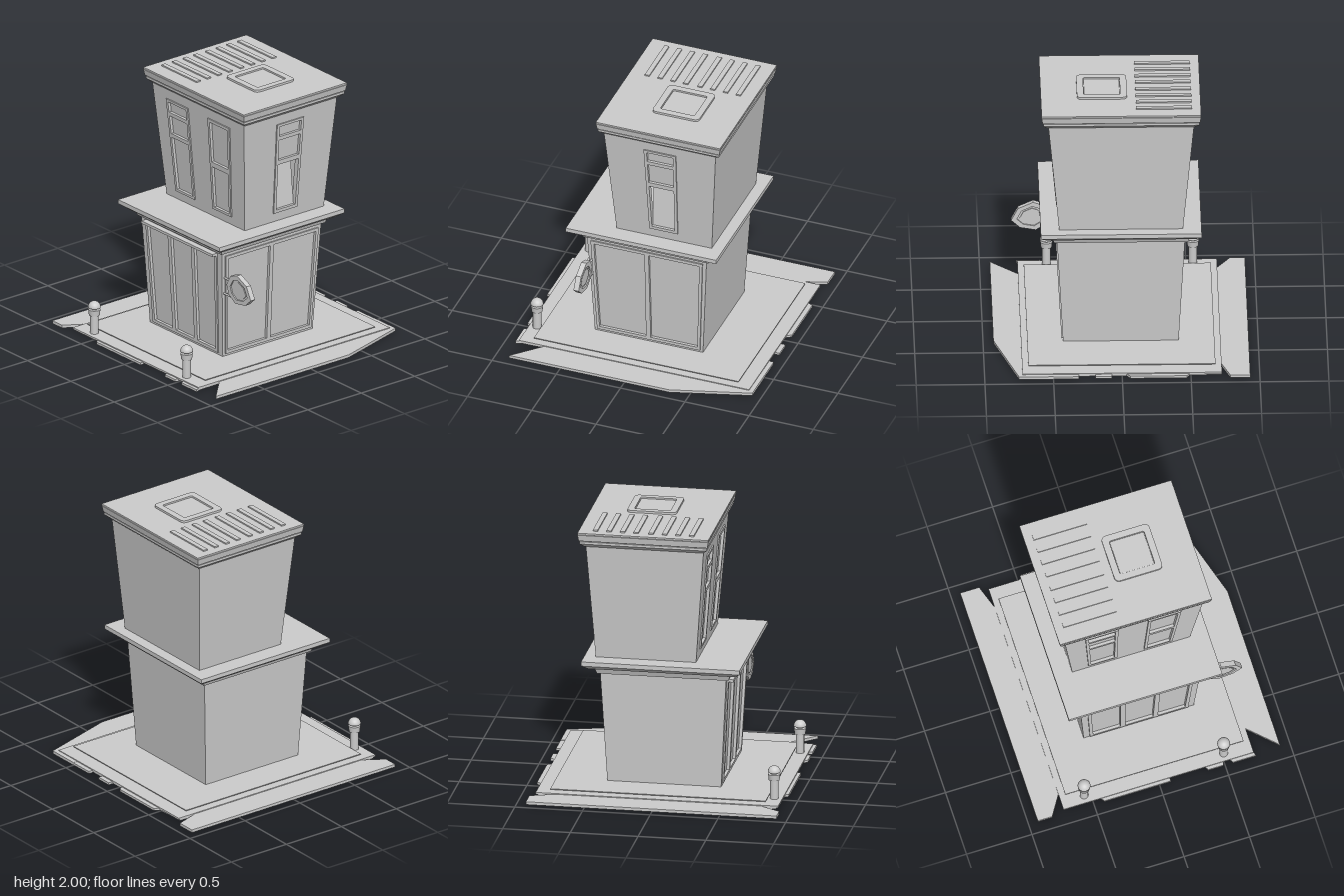
import * as THREE from 'three';
import { RoundedBoxGeometry } from 'three/addons/geometries/RoundedBoxGeometry.js';

const material = new THREE.MeshStandardMaterial({ color: 0xcccccc, side: THREE.DoubleSide });

function add(parent, name, geometry, x = 0, y = 0, z = 0) {
  const mesh = new THREE.Mesh(geometry, material);
  mesh.name = name;
  mesh.position.set(x, y, z);
  parent.add(mesh);
  return mesh;
}

const polygon = (points) => new THREE.Shape(points.map((p) => new THREE.Vector2(p[0], p[1])));

// A quad is [left, right, y] at its foot, then [left, right, y] at its head
const corners = ([l0, r0, y0, l1, r1, y1]) => [[l0, y0], [r0, y0], [r1, y1], [l1, y1]];

// Box whose footprint changes from half sizes (x0, z0) at y0 to (x1, z1) at y1
function taper(parent, name, y0, y1, x0, x1, z0, z1, zc = 0) {
  const g = new THREE.BoxGeometry(2, y1 - y0, 2);
  const p = g.attributes.position;
  for (let i = 0; i < p.count; i++) {
    const top = p.getY(i) > 0;
    p.setX(i, p.getX(i) * (top ? x1 : x0));
    p.setZ(i, p.getZ(i) * (top ? z1 : z0));
  }
  g.computeVertexNormals();
  return add(parent, name, g, 0, (y0 + y1) / 2, zc);
}

// Sheet lying in a leaning wall, from depth d0 to d1 along the wall's outward axis
function sheet(parent, name, wall, quad, holes, d0, d1, tilt = 0) {
  const shape = polygon(corners(quad));
  shape.holes = holes.map((h) => polygon(corners(h)));
  const g = new THREE.ExtrudeGeometry(shape, { depth: d1 - d0, bevelEnabled: false });
  const p = g.attributes.position;
  for (let i = 0; i < p.count; i++) {
    const y = p.getY(i);
    const out = wall.out0 + ((wall.out1 - wall.out0) * (y - wall.y0)) / (wall.y1 - wall.y0);
    p.setZ(i, p.getZ(i) + d0 + out - tilt * (y - quad[2]));
  }
  g.rotateY(wall.turn);
  g.computeVertexNormals();
  add(parent, name, g);
}

// Window: raised frame with openings and set-back panes
function addWindow(parent, name, wall, quad, panes, tilts = []) {
  const group = new THREE.Group();
  group.name = name;
  sheet(group, 'frame', wall, quad, panes, -0.03, 0.01);
  panes.forEach((pane, i) => sheet(group, 'pane', wall, pane, [], -0.025, -0.012, tilts[i] || 0));
  parent.add(group);
}

// Panes stacked in one window, following its slanted sides
function stacked(q, ranges, margin = 0.022) {
  const at = (k, y) => q[k] + ((q[k + 3] - q[k]) * (y - q[2])) / (q[5] - q[2]);
  return ranges.map(([a, b]) => [at(0, a) + margin, at(1, a) - margin, a, at(0, b) + margin, at(1, b) - margin, b]);
}

// Four leaning walls; x and z hold [foot, head] limits
function storey(parent, name, y0, y1, hx, zFront, zBack, frontHoles, rightHoles) {
  const group = new THREE.Group();
  group.name = name;
  const base = { y0, y1 };
  const front = { ...base, out0: zFront[0], out1: zFront[1], turn: 0 };
  const back = { ...base, out0: -zBack[0], out1: -zBack[1], turn: Math.PI };
  const right = { ...base, out0: hx[0], out1: hx[1], turn: Math.PI / 2 };
  const left = { ...right, turn: -Math.PI / 2 };
  const wide = [-hx[0], hx[0], y0, -hx[1], hx[1], y1];
  sheet(group, 'frontWall', front, wide, frontHoles, -0.03, 0);
  sheet(group, 'backWall', back, wide, [], -0.03, 0);
  sheet(group, 'rightWall', right, [-zFront[0], -zBack[0], y0, -zFront[1], -zBack[1], y1], rightHoles, -0.03, 0);
  sheet(group, 'leftWall', left, [zBack[0], zFront[0], y0, zBack[1], zFront[1], y1], [], -0.03, 0);
  parent.add(group);
  return { group, front, right };
}

function flatPiece(parent, name, points, y0, y1) {
  const g = new THREE.ExtrudeGeometry(polygon(points.map(([x, z]) => [x, -z])), { depth: y1 - y0, bevelEnabled: false });
  g.rotateX(-Math.PI / 2);
  add(parent, name, g, 0, y0, 0);
}

export function createModel() {
  const model = new THREE.Group();
  model.name = 'building';

  // Broken ground pieces, paving slab and thin inner plate
  const ground = new THREE.Group();
  ground.name = 'ground';
  model.add(ground);
  flatPiece(ground, 'leftGround', [[-0.93, -0.93], [-0.785, -0.93], [-0.725, -0.75], [-0.6, -0.3],
    [-0.6, 0.4], [-0.725, 0.77], [-0.82, 0.92], [-0.93, 0.92]], 0, 0.022);
  flatPiece(ground, 'rightGround', [[0.75, -0.93], [0.925, -0.35], [0.925, 0.895], [0.725, 0.7],
    [0.5, 0.45], [0.5, -0.93]], 0, 0.022);
  flatPiece(ground, 'middleGround', [[-0.72, -0.88], [-0.49, -0.89], [-0.47, -0.93], [-0.06, -0.93], [-0.03, -0.89],
    [0.075, -0.89], [0.075, -0.93], [0.195, -0.93], [0.195, -0.89], [0.315, -0.89], [0.315, -0.93], [0.56, -0.93],
    [0.535, -0.89], [0.7, -0.88], [0.72, 0.88], [0.735, 0.92], [0.56, 0.92], [0.54, 0.88], [0.5, 0.88],
    [0.485, 0.92], [0.37, 0.92], [0.35, 0.88], [0.085, 0.88], [0.085, 0.92], [-0.42, 0.92], [-0.45, 0.88],
    [-0.72, 0.88]], 0.002, 0.02);
  add(ground, 'pavingSlab', new THREE.BoxGeometry(1.45, 0.014, 1.79), 0, 0.021, 0);
  add(ground, 'innerPlate', new THREE.BoxGeometry(1.36, 0.006, 1.59), 0, 0.044, 0);

  // Ground floor with shop windows on the front and right
  const shopFront = [-0.375, 0.375, 0.065, -0.41, 0.41, 0.855];
  const shopRight = [-0.4, 0.4, 0.065, -0.435, 0.435, 0.855];
  const lower = storey(model, 'groundFloor', 0.045, 0.89, [0.42, 0.465], [0.42, 0.465], [-0.42, -0.465], [shopFront], [shopRight]);
  addWindow(lower.group, 'shopFrontWindow', lower.front, shopFront, [
    [-0.35, -0.143, 0.09, -0.385, -0.153, 0.83],
    [-0.106, 0.106, 0.09, -0.117, 0.117, 0.83],
    [0.143, 0.35, 0.09, 0.153, 0.385, 0.83]]);
  addWindow(lower.group, 'shopSideWindow', lower.right, shopRight, [
    [-0.38, -0.018, 0.09, -0.41, -0.016, 0.83],
    [0.018, 0.38, 0.09, 0.016, 0.41, 0.83]]);
  add(lower.group, 'awningRail', new THREE.BoxGeometry(0.82, 0.02, 0.05), 0, 0.86, 0.485);

  // Cornice between the floors
  taper(model, 'lowerMoulding', 0.885, 0.94, 0.485, 0.505, 0.485, 0.505);
  taper(model, 'corniceBevel', 0.935, 0.968, 0.54, 0.585, 0.54, 0.585);
  taper(model, 'corniceSlab', 0.968, 1.0, 0.585, 0.585, 0.585, 0.585);

  // Upper floor, set back from the front
  const winA = [-0.33, -0.11, 1.065, -0.37, -0.12, 1.795];
  const winB = [0.095, 0.31, 1.065, 0.11, 0.36, 1.795];
  const winC = [0.02, 0.24, 1.07, 0, 0.25, 1.795];
  const upper = storey(model, 'upperFloor', 1.0, 1.88, [0.45, 0.53], [0.24, 0.31], [-0.5, -0.56], [winA, winB], [winC]);
  addWindow(upper.group, 'frontTallWindow', upper.front, winA, stacked(winA, [[1.085, 1.495], [1.525, 1.665], [1.695, 1.775]]));
  addWindow(upper.group, 'frontSashWindow', upper.front, winB, stacked(winB, [[1.085, 1.41], [1.45, 1.77]]));
  addWindow(upper.group, 'sideWindow', upper.right, winC,
    stacked(winC, [[1.095, 1.465], [1.5, 1.665], [1.695, 1.775]]), [0.2]);

  // Roof mouldings and top
  const roof = new THREE.Group();
  roof.name = 'roof';
  model.add(roof);
  const zc = -0.13;
  taper(roof, 'roofBevel', 1.87, 1.898, 0.535, 0.567, 0.44, 0.47, zc);
  taper(roof, 'roofBand', 1.898, 1.915, 0.567, 0.567, 0.47, 0.47, zc);
  taper(roof, 'roofGroove', 1.915, 1.975, 0.555, 0.565, 0.458, 0.468, zc);
  taper(roof, 'roofFascia', 1.922, 1.968, 0.572, 0.58, 0.475, 0.483, zc);
  taper(roof, 'roofTop', 1.972, 1.984, 0.58, 0.58, 0.483, 0.483, zc);

  // Roof vents and hatch
  for (const z of [-0.49, -0.39, -0.29, -0.19, -0.08, 0.02, 0.12, 0.22]) {
    add(roof, 'roofVent', new THREE.BoxGeometry(0.405, 0.012, 0.036), -0.312, 1.988, z - 0.002);
  }
  const rounded = (path, h, r) => {
    path.moveTo(-h + r, -h);
    [[1, -1, -Math.PI / 2], [1, 1, 0], [-1, 1, Math.PI / 2], [-1, -1, Math.PI]].forEach(([sx, sy, a]) =>
      path.absarc(sx * (h - r), sy * (h - r), r, a, a + Math.PI / 2));
    return path;
  };
  const rim = rounded(new THREE.Shape(), 0.182, 0.035);
  rim.holes.push(rounded(new THREE.Path(), 0.133, 0.012));
  const rimGeometry = new THREE.ExtrudeGeometry(rim, { depth: 0.02, bevelEnabled: false, curveSegments: 5 });
  rimGeometry.rotateX(-Math.PI / 2);
  add(roof, 'hatchRim', rimGeometry, 0.135, 1.98, -0.162);
  add(roof, 'hatchLid', new RoundedBoxGeometry(0.262, 0.014, 0.262, 2, 0.005), 0.135, 1.984, -0.162);

  // Hanging sign on two rods
  const sign = new THREE.Group();
  sign.name = 'hangingSign';
  sign.position.set(0.64, 0.64, 0.43);
  model.add(sign);
  const rimPoints = [[-0.14, 0.01], [-0.095, 0.09], [-0.02, 0.115], [0.09, 0.065], [0.14, -0.03], [0.075, -0.09],
    [-0.04, -0.11], [-0.115, -0.06]];
  const scaled = (s) => rimPoints.map(([x, y]) => [x * s, y * s]);
  const signShape = polygon(rimPoints);
  signShape.holes.push(polygon(scaled(0.7)));
  add(sign, 'signFrame', new THREE.ExtrudeGeometry(signShape, { depth: 0.04, bevelEnabled: false }), 0, 0, -0.02);
  add(sign, 'signBoard', new THREE.ExtrudeGeometry(polygon(scaled(0.72)), { depth: 0.02, bevelEnabled: false }), 0, 0, -0.01);
  add(sign, 'signBoss', new THREE.ExtrudeGeometry(polygon(scaled(0.56)), { depth: 0.032, bevelEnabled: false }), 0, 0, -0.016);
  for (const y of [0.04, -0.083]) {
    const rod = add(sign, 'signRod', new THREE.CylinderGeometry(0.008, 0.008, 0.15, 8), -0.16, y, 0);
    rod.rotation.z = Math.PI / 2;
  }

  // Bollard lamps at the front corners
  for (const x of [-0.55, 0.515]) {
    const lamp = new THREE.Group();
    lamp.name = 'bollardLamp';
    lamp.position.set(x, 0, 0.835);
    model.add(lamp);
    add(lamp, 'post', new THREE.CylinderGeometry(0.031, 0.031, 0.155, 20), 0, 0.1, 0);
    add(lamp, 'collar', new THREE.CylinderGeometry(0.045, 0.04, 0.045, 20), 0, 0.193, 0);
    add(lamp, 'neck', new THREE.CylinderGeometry(0.022, 0.022, 0.03, 12), 0, 0.222, 0);
    add(lamp, 'dome', new THREE.SphereGeometry(0.047, 20, 8, 0, Math.PI * 2, 0, Math.PI / 2), 0, 0.231, 0);
    const disc = add(lamp, 'domeBase', new THREE.CircleGeometry(0.047, 20), 0, 0.231, 0);
    disc.rotation.x = Math.PI / 2;
  }
  return model;
}
